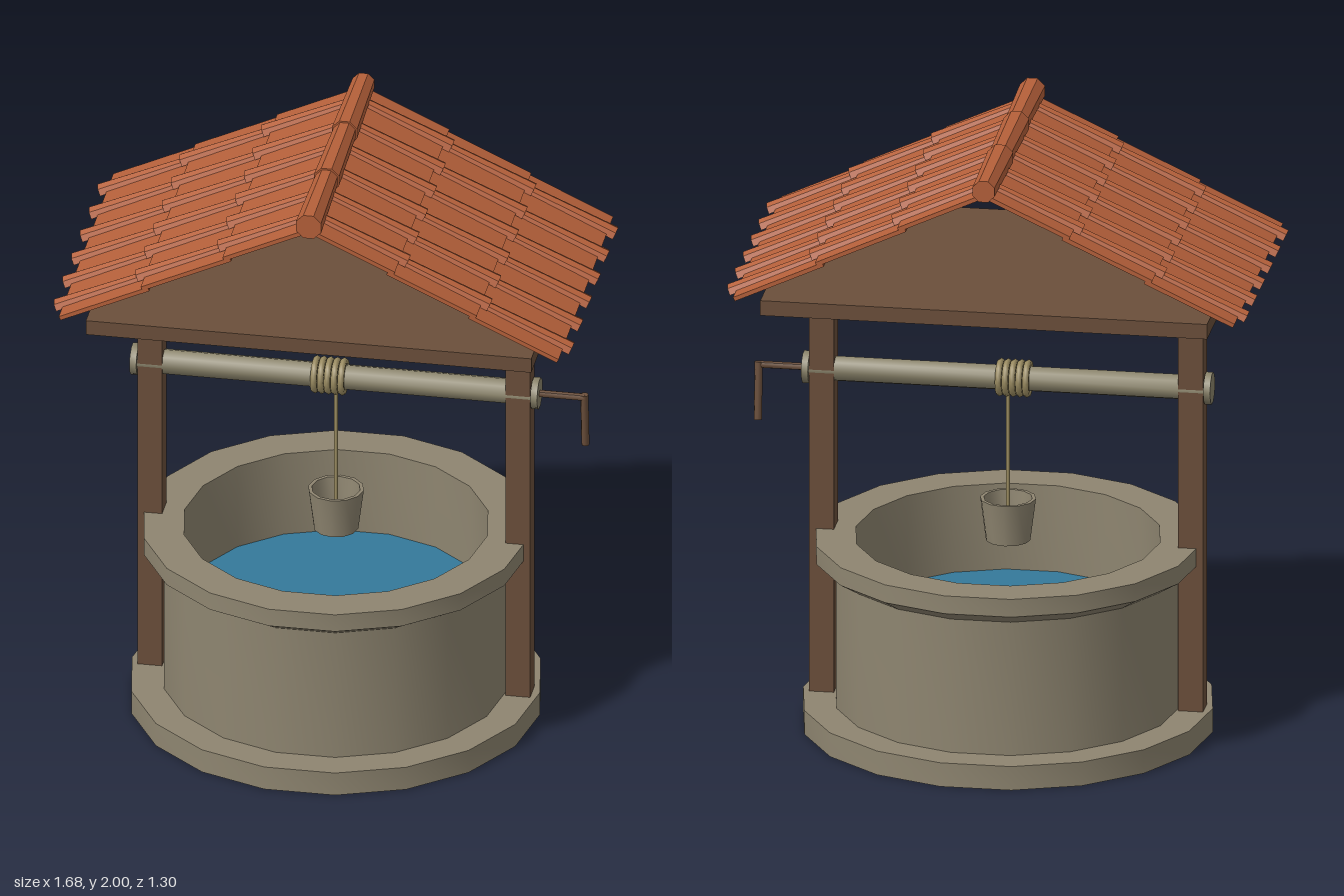
import * as THREE from 'three';
import { toCreasedNormals } from 'three/addons/utils/BufferGeometryUtils.js';

const material = (name, color, extra = {}) => {
  const m = new THREE.MeshStandardMaterial({ color, ...extra });
  m.name = name;
  return m;
};

export function createModel() {
  const stone = material('stone', 0x8e8570);
  const wood = material('wood', 0x6b4f3b);
  const tile = material('terracotta', 0xb5603a, { side: THREE.DoubleSide });
  const rope = material('rope', 0x9c8d62);
  const water = material('water', 0x34799a);
  const timber = material('weathered timber', 0x8b846b);

  const model = new THREE.Group();
  model.name = 'well';
  const add = (name, geometry, mat, parent = model, x = 0, y = 0, z = 0) => {
    const mesh = new THREE.Mesh(geometry, mat);
    mesh.name = name;
    mesh.position.set(x, y, z);
    parent.add(mesh);
    return mesh;
  };
  const lathe = (points, sides, start = 0) => toCreasedNormals(
    new THREE.LatheGeometry(points.map(p => new THREE.Vector2(...p)), sides, start), 0.7);

  // Stone ring: plinth, wall, flared rim and shaft
  add('stoneWell', lathe([
    [0, 0], [0.66, 0], [0.66, 0.08], [0.555, 0.08], [0.555, 0.53],
    [0.62, 0.57], [0.62, 0.63], [0.49, 0.63], [0.49, 0.3], [0, 0.3],
  ], 18, Math.PI / 2), stone);
  const surface = new THREE.CircleGeometry(0.49, 18).rotateX(-Math.PI / 2);
  add('water', surface, water, model, 0, 0.34);

  // Posts and the flat board under the roof
  for (const side of [-1, 1]) {
    add(side > 0 ? 'leftPost' : 'rightPost',
      new THREE.BoxGeometry(0.08, 1.43, 0.08), wood, model, side * 0.595, 0.785);
  }
  add('roofBoard', new THREE.BoxGeometry(1.44, 0.05, 0.98), wood, model, 0, 1.525);

  // Winch with its end collars
  const winch = new THREE.Group();
  winch.name = 'winch';
  winch.position.y = 1.16;
  model.add(winch);
  const along = (r, length, sides) =>
    toCreasedNormals(new THREE.CylinderGeometry(r, r, length, sides).rotateZ(Math.PI / 2), 0.9);
  add('drum', along(0.042, 1.3, 8), timber, winch);
  for (const side of [-1, 1]) add('collar', along(0.052, 0.022, 10), timber, winch, side * 0.648);

  // Crank
  add('crankAxle', along(0.012, 0.15, 8), wood, winch, 0.73);
  const handle = add('crankHandle', new THREE.CylinderGeometry(0.013, 0.013, 0.19, 8),
    wood, winch, 0.803, -0.085, -0.01);
  handle.rotation.x = 0.1;

  // Rope wound on the drum, then hanging to the bucket
  for (let i = 0; i < 5; i++) {
    const coil = new THREE.TorusGeometry(0.05, 0.0115, 6, 16).rotateY(Math.PI / 2);
    add('ropeCoil', coil, rope, winch, -0.064 + i * 0.022);
  }
  add('hangingRope', new THREE.CylinderGeometry(0.007, 0.007, 0.5, 6), rope, model, 0, 0.88);

  // Bucket
  add('bucket', lathe([
    [0, 0.615], [0.072, 0.615], [0.09, 0.755], [0.078, 0.755], [0.064, 0.635], [0, 0.635],
  ], 12), stone);

  // Tiled slopes: each is laid out along +x, then tilted down from the ridge
  const roof = new THREE.Group();
  roof.name = 'roof';
  roof.position.y = 1.946;
  model.add(roof);
  const course = 0.296;
  for (const side of [0, 1]) {
    const facing = new THREE.Group();
    facing.name = side ? 'rightSlope' : 'leftSlope';
    facing.rotation.y = side * Math.PI;
    roof.add(facing);
    const slope = new THREE.Group();
    slope.rotation.z = -Math.atan(0.5);
    facing.add(slope);
    for (let k = 0; k < 3; k++) {
      // Flat tiles, each course lapping over the next one down
      const mid = (k + 0.5) * course;
      const pan = add('flatTiles', new THREE.BoxGeometry(course + 0.02, 0.014, 0.975),
        tile, slope, mid, 0);
      pan.rotation.z = 0.03;
      // Raised cover tiles, wider at their lower end
      for (let j = 0; j < 6; j++) {
        const cover = new THREE.CylinderGeometry(0.03, 0.022, course + 0.03, 4, 1, false, 0, Math.PI)
          .rotateZ(-Math.PI / 2).rotateX(Math.PI);
        // Keep the arch on the upper side
        cover.computeBoundingBox();
        if (cover.boundingBox.max.y < 0.01) cover.rotateX(Math.PI);
        const mesh = add('coverTile', toCreasedNormals(cover, 0.5), tile, slope,
          mid + 0.02, 0.002, -0.395 + j * 0.157);
        mesh.rotation.z = 0.025;
      }
    }
  }

  // Ridge tiles: three lengths of tapered eight-sided cap
  for (let i = 0; i < 3; i++) {
    const cap = new THREE.CylinderGeometry(0.044, 0.038, 0.34, 8)
      .rotateY(Math.PI / 8).rotateX(Math.PI / 2);
    add('ridgeTile', toCreasedNormals(cap, 0.5), tile, roof, 0, 0.012, (i - 1) * 0.322);
  }
  return model;
}
